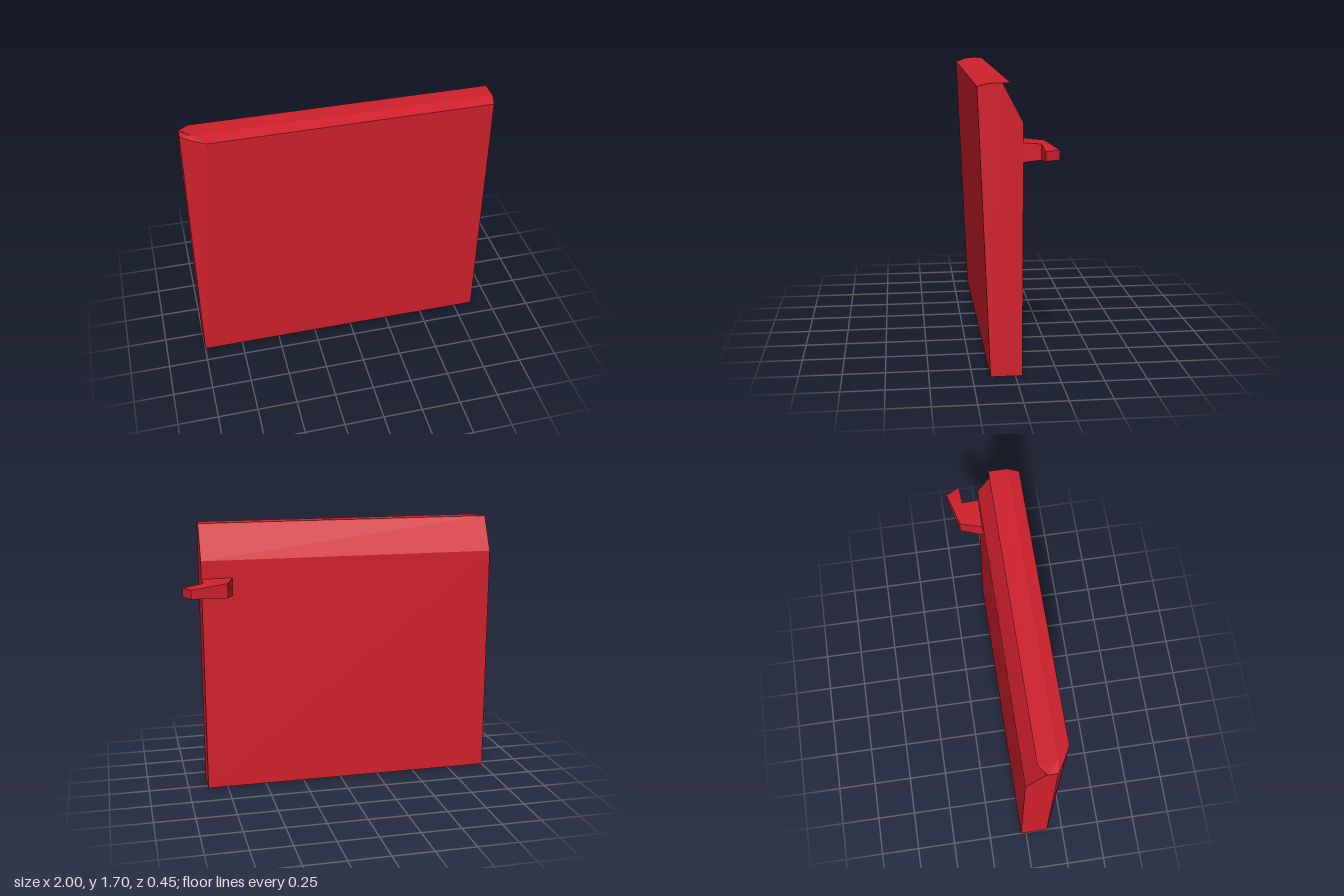
import * as THREE from 'three';

// Builds a faceted mesh from named corners and convex faces (space separated corner names)
function faceted(name, corners, faces, material) {
  const pos = [];
  for (const face of faces) {
    const p = face.split(' ').map((k) => corners[k]);
    for (let i = 1; i < p.length - 1; i++) pos.push(...p[0], ...p[i], ...p[i + 1]);
  }
  const g = new THREE.BufferGeometry();
  g.setAttribute('position', new THREE.Float32BufferAttribute(pos, 3));
  g.computeVertexNormals();
  const mesh = new THREE.Mesh(g, material);
  mesh.name = name;
  return mesh;
}

export function createModel() {
  const model = new THREE.Group();
  model.name = 'doorPanel';
  const red = new THREE.MeshStandardMaterial({ color: 0xd0202c, side: THREE.DoubleSide, flatShading: true });
  red.name = 'red paint';

  // Corners: first letter back/front/top/ridge, second left/right end as seen from the front
  const c = {
    bl0: [-1, 0, -0.035], fl0: [-1, 0, 0.145], br0: [0.875, 0, -0.04], fr0: [0.875, 0, 0.145],
    bl: [-1, 1.475, -0.035], br: [0.875, 1.475, -0.04],
    tl: [-1, 1.69, 0.075], tr: [0.875, 1.693, 0.075],
    sl: [-1, 1.69, 0.14], ql: [-0.93, 1.68, 0.185],
    fl: [-0.855, 1.675, 0.225], fr: [0.86, 1.675, 0.215],
    rl: [-0.93, 1.695, 0.15], rr: [0.875, 1.695, 0.145],
    kl: [-0.94, 1.695, 0.035], ol: [-1, 1.695, 0.08], kr: [0.875, 1.695, 0.03],
  };

  // Tapered slab with a sloped back shoulder and chamfered ends
  model.add(faceted('panel', c, [
    'fl0 fr0 fr fl', 'br0 bl0 bl br', 'br bl tl tr', 'bl0 br0 fr0 fl0',
    'rl fl fr rr',
    'bl0 fl0 sl tl bl', 'fl0 ql sl', 'fl0 fl ql',
    'sl ql rl', 'ql fl rl', 'tl sl rl',
    'fr0 br0 br tr rr', 'fr0 rr fr',
  ], red));

  // Thin top sheet overhanging the back shoulder
  model.add(faceted('topLip', c, ['kl ol rl rr kr'], red));

  // Bent handle lofted through three sections: inner edge, outer edge, low and high
  const sections = [
    [0.685, -0.04, 0.875, -0.04, 1.255, 1.365],
    [0.73, -0.175, 0.875, -0.14, 1.266, 1.356],
    [0.955, -0.23, 1, -0.145, 1.28, 1.335],
  ];
  const h = {};
  const faces = ['a2 d2 c2 b2'];
  sections.forEach(([x1, z1, x2, z2, lo, hi], i) => {
    Object.assign(h, {
      ['a' + i]: [x1, lo, z1], ['b' + i]: [x2, lo, z2],
      ['c' + i]: [x2, hi, z2], ['d' + i]: [x1, hi, z1],
    });
    if (i === 0) return;
    ['ab', 'bc', 'cd', 'da'].forEach(([m, n]) => {
      faces.push(`${m}${i - 1} ${m}${i} ${n}${i} ${n}${i - 1}`);
    });
  });
  model.add(faceted('handle', h, faces, red));

  return model;
}
